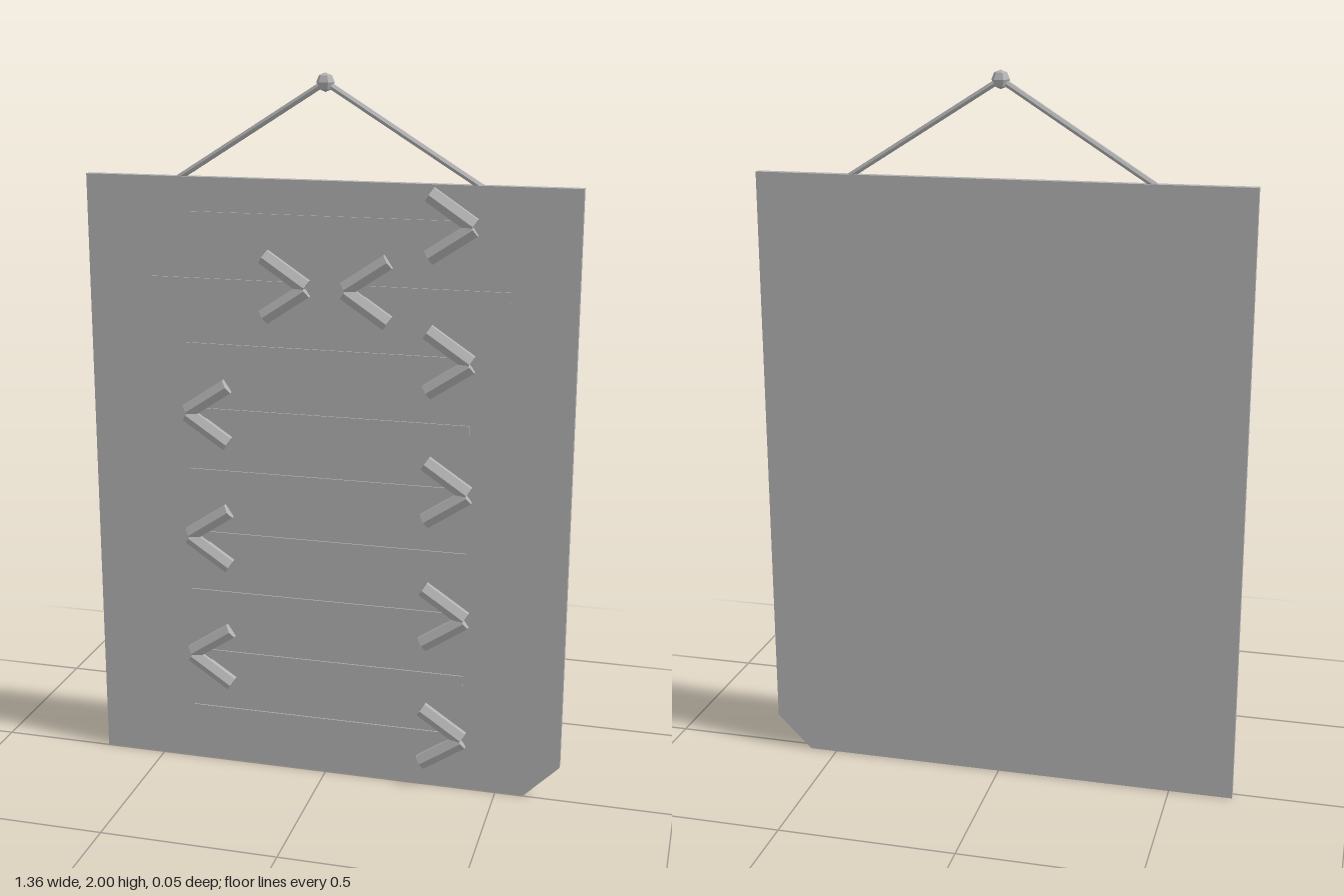
import * as THREE from 'three';

export function createModel() {
  const model = new THREE.Group();
  const grey = new THREE.MeshStandardMaterial({ color: 0xb2b2b2, flatShading: true });
  grey.name = 'plain grey';

  const add = (name, geometry, parent = model) => {
    const mesh = new THREE.Mesh(geometry, grey);
    mesh.name = name;
    parent.add(mesh);
    return mesh;
  };

  // Six-sided rod between two points
  const up = new THREE.Vector3(0, 1, 0);
  const rod = (name, a, b, radius, parent) => {
    const from = new THREE.Vector3(...a), to = new THREE.Vector3(...b);
    const dir = to.clone().sub(from);
    const mesh = add(name, new THREE.CylinderGeometry(radius, radius, dir.length(), 6), parent);
    mesh.position.copy(from).add(to).multiplyScalar(0.5);
    mesh.quaternion.setFromUnitVectors(up, dir.normalize());
  };

  // Board with one clipped lower corner
  const outline = new THREE.Shape([
    [-0.68, 0], [0.58, 0], [0.68, 0.1], [0.68, 1.72], [-0.68, 1.72],
  ].map(([x, y]) => new THREE.Vector2(x, y)));
  const board = add('board', new THREE.ExtrudeGeometry(outline, { depth: 0.025, bevelEnabled: false }));
  board.position.z = -0.027;

  // Hanging cord and the knot at its peak
  for (const s of [-1, 1]) rod('hangingCord', [0, 1.975, 0], [s * 0.415, 1.715, -0.014], 0.009);
  add('knot', new THREE.SphereGeometry(0.025, 6, 4)).position.y = 1.975;

  // Arrow: thin shaft strip from tail to tip, plus two raised head bars
  const arrow = (tail, tip, y) => {
    const group = new THREE.Group();
    group.name = 'arrow';
    model.add(group);
    const s = Math.sign(tip - tail);
    const shaft = add('arrowShaft', new THREE.BoxGeometry(Math.abs(tip - tail), 0.03, 0.006), group);
    shaft.position.set((tip + tail) / 2, y, -0.001);
    for (const v of [-1, 1]) {
      rod('arrowHeadBar', [tip - s * 0.118, y + v * 0.083, 0], [tip, y + v * 0.004, 0], 0.0245, group);
    }
  };

  // Path zigzags down the board
  for (let i = 0; i < 5; i++) arrow(-0.4, 0.4, 1.612 - i * 0.3645);
  for (let i = 0; i < 3; i++) arrow(0.4, -0.4, 1.062 - i * 0.3645);
  // Pair meeting in the middle
  arrow(-0.5, -0.055, 1.43);
  arrow(0.5, 0.055, 1.43);

  return model;
}
